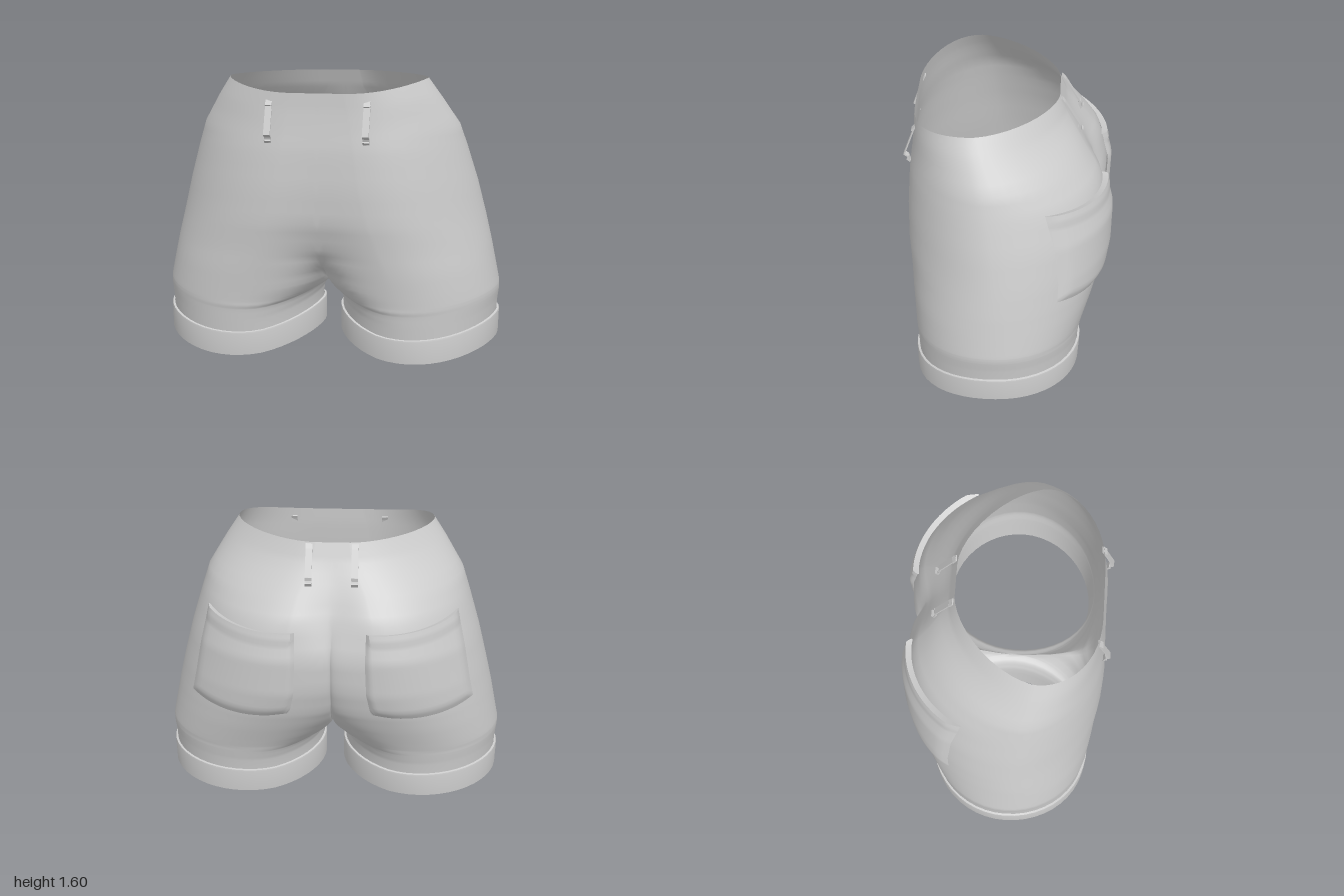
import * as THREE from 'three';
import { mergeGeometries, mergeVertices, toCreasedNormals } from 'three/addons/utils/BufferGeometryUtils.js';

const { lerp, clamp, smoothstep } = THREE.MathUtils;
const material = new THREE.MeshStandardMaterial({ color: 0xcccccc, side: THREE.DoubleSide });

// Half sections from waist to hem:
// y, inner x, front seam z, back seam z, front lobe x, z, side x, z, back lobe x, z
const KEYS = [
  [1.61, 0, 0.54, -0.28, 0.15, 0.54, 0.58, 0.2, 0.1, -0.28],
  [1.5, 0, 0.545, -0.325, 0.18, 0.545, 0.655, 0.17, 0.12, -0.325],
  [1.34, 0, 0.558, -0.41, 0.2, 0.558, 0.755, 0.12, 0.2, -0.43],
  [1.2, 0, 0.572, -0.47, 0.22, 0.573, 0.8, 0.1, 0.24, -0.52],
  [1.0, 0, 0.58, -0.525, 0.25, 0.585, 0.86, 0.07, 0.27, -0.57],
  [0.8, 0, 0.57, -0.51, 0.3, 0.583, 0.91, 0.05, 0.3, -0.565],
  [0.65, 0, 0.52, -0.45, 0.36, 0.565, 0.945, 0.05, 0.36, -0.535],
  [0.55, 0, 0.44, -0.35, 0.42, 0.555, 0.965, 0.05, 0.41, -0.5],
  [0.46, 0, 0.28, -0.2, 0.46, 0.545, 0.983, 0.05, 0.45, -0.465],
  [0.405, 0, 0.13, -0.05, 0.48, 0.54, 0.994, 0.05, 0.47, -0.445],
  [0.385, 0, 0.05, 0.05, 0.48, 0.54, 0.995, 0.05, 0.47, -0.44],
  [0.365, 0.04, 0.05, 0.05, 0.49, 0.535, 0.994, 0.05, 0.48, -0.435],
  [0.3, 0.066, 0.05, 0.05, 0.5, 0.53, 0.985, 0.05, 0.5, -0.42],
  [0.1, 0.075, 0.05, 0.05, 0.52, 0.515, 0.97, 0.05, 0.52, -0.4],
];

// Section values at height y
function keyAt(y) {
  let i = 0;
  while (i < KEYS.length - 2 && y < KEYS[i + 1][0]) i++;
  const a = KEYS[i], b = KEYS[i + 1];
  const t = clamp((a[0] - y) / (a[0] - b[0]), 0, 1);
  return a.map((v, k) => lerp(v, b[k], t));
}

// Hem dips at the front and lifts at the inner leg
function hemShift(x, z) {
  const dip = z > 0 ? 0.1 * (z / 0.53) ** 2 : 0.02 * (z / 0.42) ** 2;
  return 0.025 * clamp(1 - x / 0.35, 0, 1) - dip;
}

// Point on the left half: u = 0 front seam, 1 front lobe, 2 side, 3 back lobe, 4 back seam
function surface(u, y) {
  const [, x0, f0, b0, fx, fz, sx, sz, bx, bz] = keyAt(y);
  const q = Math.min(3, Math.floor(u)), f = u - q, t = f * Math.PI / 2;
  const s = Math.max(0, Math.sin(t)), c = Math.max(0, Math.cos(t));
  let x, z;
  if (q === 0) {
    // the front seam opens from a shallow hollow into the round inner leg
    const soft = smoothstep(y, 0.41, 0.7);
    x = lerp(x0, fx, lerp(1 - c, f, soft));
    z = lerp(f0, fz, lerp(s, smoothstep(f, 0, 1), soft));
  } else if (q === 1) {
    const e = 1 + 0.08 * smoothstep(y, 0.4, 0.9) * (1 - smoothstep(y, 1.35, 1.6));
    x = lerp(fx, sx, s ** e);
    z = lerp(sz, fz, c ** e);
  } else if (q === 2) {
    const e = 1 + 0.06 * smoothstep(y, 0.35, 0.7) + 0.2 * smoothstep(y, 1.2, 1.61);
    x = lerp(bx, sx, c ** e);
    z = lerp(sz, bz, s ** e);
  } else {
    // the back seam fades out towards the waist
    const soft = smoothstep(y, 0.95, 1.3);
    x = lerp(bx, x0, lerp(s, f, soft));
    z = lerp(bz, b0, lerp(1 - c, smoothstep(f, 0, 1), soft));
  }
  const waist = -0.07 * (Math.max(0, z - 0.2) / 0.34) ** 2 * smoothstep(y, 1.2, 1.61);
  const hem = hemShift(x, z) * (1 - smoothstep(y, 0.25, 0.75));
  return new THREE.Vector3(x, y + waist + hem, z);
}

// Quad grid over columns and rows
function grid(nu, nv, point) {
  const pos = [], index = [];
  for (let j = 0; j <= nv; j++)
    for (let i = 0; i <= nu; i++) pos.push(...point(i, j).toArray());
  for (let j = 0; j < nv; j++)
    for (let i = 0; i < nu; i++) {
      const a = j * (nu + 1) + i, b = a + nu + 1;
      index.push(a, b, a + 1, a + 1, b, b + 1);
    }
  const g = new THREE.BufferGeometry();
  g.setAttribute('position', new THREE.Float32BufferAttribute(pos, 3));
  g.setIndex(index);
  return g;
}

// Copy to the other side with the winding turned round
function mirrored(g) {
  const m = g.clone().scale(-1, 1, 1), ix = m.index.array;
  for (let i = 0; i < ix.length; i += 3) [ix[i + 1], ix[i + 2]] = [ix[i + 2], ix[i + 1]];
  return m;
}

function smooth(g) {
  const m = mergeVertices(g, 1e-4);
  m.computeVertexNormals();
  return m;
}

export function createModel() {
  const group = new THREE.Group();
  const add = (name, geometry) => {
    const mesh = new THREE.Mesh(geometry, material);
    mesh.name = name;
    group.add(mesh);
    return mesh;
  };

  // Body: two mirrored halves joined along the centre seam
  const rows = [KEYS[0][0]];
  for (let i = 1; i < KEYS.length; i++)
    for (let n = 1; n <= 3; n++) rows.push(lerp(KEYS[i - 1][0], KEYS[i][0], n / 3));
  const half = grid(48, rows.length - 1, (i, j) => surface(i / 12, rows[j]));
  add('body', smooth(mergeGeometries([half, mirrored(half)])));

  // Turned-up cuffs: scale of the leg section about its centre, height
  const cuffProfile = [[1.004, 0.243], [1.03, 0.24], [1.036, 0.23], [1.048, 0.1], [1.0, 0.1]];
  const cuff = grid(48, cuffProfile.length - 1, (i, j) => {
    const [s, y] = cuffProfile[j], p = surface(i / 12, y);
    const x = 0.523 + (p.x - 0.523) * s, z = 0.055 + (p.z - 0.055) * s;
    return new THREE.Vector3(x, p.y, z);
  });

  // Back pockets: padded patches that follow the seat, with a thicker top band
  const n = 24;
  const pocket = grid(n, n, (i, j) => {
    const s = i / n, r = clamp((j - 1) / (n - 1), 0, 1);
    const u = lerp(lerp(2.35, 2.4, r), lerp(3.15, 3.22, r), s);
    const bow = Math.sin(Math.PI * s);
    const y = lerp(lerp(1.2, 1.16, s) - 0.02 * bow, lerp(0.69, 0.67, s) - 0.03 * bow, r);
    const p = surface(u, y);
    const du = surface(u + 0.02, y).sub(surface(u - 0.02, y));
    const dy = surface(u, y - 0.02).sub(surface(u, y + 0.02));
    const pad = smoothstep(Math.min(s, 1 - s, 1 - r), -0.04, 0.1);
    const lift = j === 0 ? 0 : (r < 0.1 ? 0.034 : 0.026) * pad;
    return p.addScaledVector(dy.cross(du).normalize(), 0.002 + lift);
  });
  for (const [name, g, angle] of [['Cuff', cuff, 0.6], ['Pocket', pocket, 0.7]]) {
    add('left' + name, toCreasedNormals(g, angle));
    add('right' + name, toCreasedNormals(mirrored(g), angle));
  }

  // Belt loops: thin straps along (y, z) paths, with folded ends
  const loops = {
    Front: { x: 0.28, path: [[1.47, 0.545], [1.495, 0.525], [1.475, 0.535], [1.31, 0.595], [1.295, 0.575], [1.265, 0.565], [1.275, 0.578]] },
    Back: { x: 0.13, path: [[1.575, -0.305], [1.602, -0.29], [1.58, -0.308], [1.44, -0.392], [1.42, -0.39], [1.395, -0.4], [1.41, -0.41]] },
  };
  for (const [end, { x, path }] of Object.entries(loops)) {
    const parts = [];
    for (let i = 1; i < path.length; i++) {
      const [ya, za] = path[i - 1], [yb, zb] = path[i];
      const box = new THREE.BoxGeometry(0.038, Math.hypot(yb - ya, zb - za) + 0.006, 0.008);
      box.rotateX(Math.atan2(zb - za, yb - ya));
      parts.push(box.translate(0, (ya + yb) / 2, (za + zb) / 2));
    }
    const strap = mergeGeometries(parts);
    for (const [side, sign] of [['left', 1], ['right', -1]])
      add(side + end + 'BeltLoop', strap).position.x = sign * x;
  }
  return group;
}
